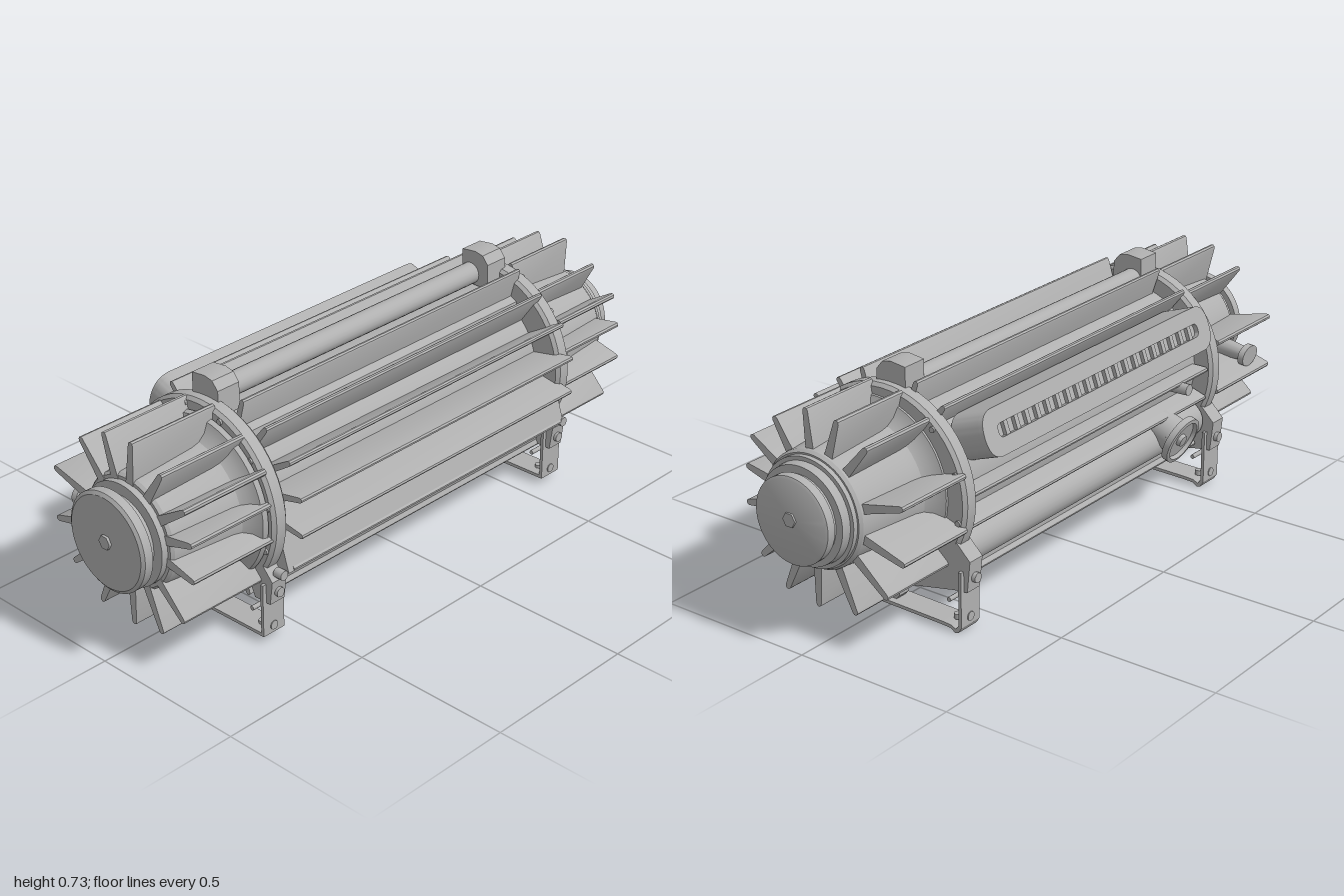
import * as THREE from 'three';
import { toCreasedNormals } from 'three/addons/utils/BufferGeometryUtils.js';

const metal = new THREE.MeshStandardMaterial({ color: 0xb0b0b0 });
metal.name = 'grey metal';
const CZ = 0.025, CY = 0.39; // shaft axis, running along x
const FZ = 0.005, FY = 0.384; // casing and flange axis

export function createModel() {
  const root = new THREE.Group();
  const add = (name, geo, parent = root) => {
    const m = new THREE.Mesh(geo, metal);
    m.name = name;
    parent.add(m);
    return m;
  };
  // Extrude a [z, y] outline along x
  const slab = (name, pts, x0, x1) => {
    const s = new THREE.Shape(pts.map(([z, y]) => new THREE.Vector2(-z, y)));
    const g = new THREE.ExtrudeGeometry(s, { depth: x1 - x0, bevelEnabled: false });
    g.rotateY(Math.PI / 2).translate(x0, 0, 0);
    return add(name, toCreasedNormals(g, 0.5));
  };
  // Turn an [x, radius] profile around an axis along x
  const turned = (name, prof, y = CY, z = CZ) => {
    const g = new THREE.LatheGeometry(prof.map(([x, r]) => new THREE.Vector2(r, x)), 56);
    g.rotateZ(-Math.PI / 2).translate(0, y, z);
    return add(name, toCreasedNormals(g, 0.5));
  };
  // Tapered radial fin with a rounded tip
  const fin = (name, [tz, ty], r0, w0, w1, x0, x1) => {
    const dz = tz - CZ, dy = ty - CY, r = Math.hypot(dz, dy), uz = dz / r, uy = dy / r;
    const p = (d, w) => [CZ + uz * d - uy * w, CY + uy * d + uz * w];
    return slab(name, [p(r0, -w0), p(r - w1, -w1), p(r - w1 * 0.3, -w1 * 0.7), p(r, 0),
      p(r - w1 * 0.3, w1 * 0.7), p(r - w1, w1), p(r0, w0)], x0, x1);
  };
  // Group whose local +y points to the rear, raised by the given angle in degrees
  const rearMount = (name, x, y, z, elevation) => {
    const g = new THREE.Group();
    g.name = name;
    g.position.set(x, y, z);
    g.rotation.x = THREE.MathUtils.degToRad(elevation - 90);
    root.add(g);
    return g;
  };
  const bolt = (name, x, y, z, r, l) =>
    add(name, new THREE.CylinderGeometry(r, r, l, 8).rotateZ(Math.PI / 2).translate(x, y, z));

  // Central casing: round on top, recessed at the upper front, stepped below
  const casing = [];
  for (let i = 0; i <= 28; i++) {
    const deg = -5 + i * 7.2, a = THREE.MathUtils.degToRad(deg);
    const r = deg < 55 ? 0.195 : 0.225;
    casing.push([FZ + r * Math.cos(a), CY + r * Math.sin(a)]);
  }
  casing.push([-0.235, 0.25], [-0.23, 0.16], [-0.12, 0.115], [-0.03, 0.11], [0.05, 0.12],
    [0.115, 0.09], [0.165, 0.15], [0.215, 0.14], [0.235, 0.2], [0.3, 0.225], [0.265, 0.335]);
  slab('casing', casing, -0.58, 0.61);

  // Long cooling fins
  [[0.335, 0.345], [0.333, 0.46], [0.29, 0.56], [0.2, 0.632], [0.11, 0.685], [-0.085, 0.688],
    [-0.18, 0.638], [0.3, 0.225], [0.22, 0.125], [0.115, 0.062], [-0.015, 0.07],
    [-0.13, 0.095], [-0.235, 0.14], [-0.275, 0.4], [-0.27, 0.305]]
    .forEach(t => fin('coolingFin', t, 0.16, 0.012, 0.008, -0.56, 0.6));

  // Top rail and lifting lugs
  add('topRail', new THREE.CylinderGeometry(0.034, 0.034, 1.14, 20)
    .rotateZ(Math.PI / 2).translate(0, 0.655, -0.022));
  for (const x of [-0.55, 0.57])
    slab('liftingLug', [[0.048, 0.62], [0.046, 0.7], [0.025, 0.725], [-0.005, 0.731],
      [-0.055, 0.725], [-0.055, 0.62]], x - 0.04, x + 0.04);

  // Rear lower barrel
  add('rearBarrel', new THREE.CylinderGeometry(0.058, 0.058, 1.14, 24)
    .rotateZ(Math.PI / 2).translate(0.01, 0.225, -0.205));

  // Flanges, brackets and feet
  for (const [x0, x1] of [[-0.625, -0.57], [0.585, 0.64]]) {
    turned('flange', [[x0, 0], [x0, 0.277], [x0 + 0.01, 0.287], [x1 - 0.01, 0.287], [x1, 0.277], [x1, 0]], FY, FZ);
    const xm = (x0 + x1) / 2;
    slab('bottomLug', [[0.01, 0.12], [0.005, 0.04], [-0.005, 0.028], [-0.025, 0.028],
      [-0.035, 0.04], [-0.04, 0.12]], xm - 0.02, xm + 0.02);
    slab('frontBracket', [[0.18, 0.2], [0.24, 0.25], [0.28, 0.205], [0.27, 0.13], [0.21, 0.13]], x0, x1);
    slab('rearBracket', [[-0.16, 0.2], [-0.25, 0.27], [-0.295, 0.225], [-0.285, 0.13], [-0.24, 0.125],
      [-0.02, 0.08], [0, 0.12]], x0, x1);
    slab('foot', [[0.255, 0.19], [0.255, 0.022], [-0.2, 0.014], [-0.235, 0.012], [-0.25, 0.002],
      [-0.262, 0.005], [-0.273, 0.022], [-0.273, 0.19], [-0.263, 0.19], [-0.263, 0.028],
      [-0.253, 0.014], [-0.235, 0.022], [-0.2, 0.024], [0.245, 0.032], [0.245, 0.19]], xm - 0.04, xm + 0.04);
    for (const z of [0.21, -0.23]) {
      add('footBolt', new THREE.CylinderGeometry(0.012, 0.012, 0.016, 8).translate(xm, 0.033, z));
      bolt('bracketBolt', xm, 0.098, z, 0.007, 0.08);
    }
    for (const z of [0.251, -0.269])
      add('legBolt', new THREE.CylinderGeometry(0.014, 0.014, 0.014, 10)
        .rotateX(Math.PI / 2).translate(xm, 0.045, z));
    // Flange bolts
    for (let i = 0; i < 12; i++) {
      const a = i * Math.PI / 6 + 0.2;
      bolt('flangeBolt', xm < 0 ? x0 : x1, FY + 0.268 * Math.sin(a), FZ + 0.268 * Math.cos(a), 0.009, 0.012);
    }
    for (const [z, y] of [[0.27, 0.165], [0.285, 0.225], [-0.287, 0.17]])
      add('sideBolt', new THREE.CylinderGeometry(0.015, 0.015, 0.03, 10)
        .rotateX(Math.PI / 2).translate(xm, y, z));
  }

  // Finned end bells
  const bell = [[0.63, 0.25], [0.645, 0.245], [0.655, 0.215], [0.675, 0.195], [0.7, 0.188], [0.9, 0.172], [0.91, 0.165], [0.91, 0]];
  turned('rightEndBell', bell);
  turned('leftEndBell', bell.map(([x, r]) => [-x, r]).reverse());
  const tips = [[0.053, 0.676], [-0.058, 0.666], [-0.158, 0.612], [-0.278, 0.472], [-0.28, 0.308],
    [-0.218, 0.192], [-0.105, 0.11], [0.03, 0.095], [0.145, 0.115], [0.235, 0.19],
    [0.283, 0.338], [0.278, 0.45], [0.255, 0.545], [0.168, 0.622]];
  for (const t of tips) {
    fin('rightBellFin', t, 0.15, 0.015, 0.009, 0.63, 0.893);
    fin('leftBellFin', t, 0.15, 0.015, 0.009, -0.912, -0.615);
  }

  // Hubs and end caps
  turned('rightHub', [[0.9, 0.16], [0.925, 0.16], [0.925, 0.148], [0.952, 0.145], [0.952, 0.122],
    [0.963, 0.122], [0.963, 0.128], [0.99, 0.128], [0.994, 0.12], [0.994, 0]]);
  turned('leftHub', [[-0.992, 0], [-0.992, 0.14], [-0.985, 0.15], [-0.958, 0.15], [-0.958, 0.122],
    [-0.93, 0.122], [-0.93, 0.155], [-0.91, 0.155]]);
  for (const x of [-0.99, 0.99])
    add('hubNut', new THREE.CylinderGeometry(0.022, 0.022, 0.02, 6)
      .rotateZ(Math.PI / 2).translate(x, CY + 0.005, CZ + 0.002));

  // Rear vent with a recessed row of slots
  const capsule = (P, hl, hw) => {
    const s = new P(), r = hw * 0.85;
    s.moveTo(-hl + r, -hw);
    s.lineTo(hl - r, -hw); s.quadraticCurveTo(hl, -hw, hl, 0);
    s.quadraticCurveTo(hl, hw, hl - r, hw);
    s.lineTo(-hl + r, hw); s.quadraticCurveTo(-hl, hw, -hl, 0);
    s.quadraticCurveTo(-hl, -hw, -hl + r, -hw);
    return s;
  };
  const vent = rearMount('vent', 0, 0.55, -0.265, 20);
  const rim = capsule(THREE.Shape, 0.55, 0.068);
  rim.holes.push(capsule(THREE.Path, 0.49, 0.02));
  const plate = (s, d) => toCreasedNormals(new THREE.ExtrudeGeometry(s, { depth: d, bevelEnabled: false })
    .rotateX(-Math.PI / 2), 0.5);
  add('ventRim', plate(rim, 0.015), vent);
  add('ventBase', plate(capsule(THREE.Shape, 0.55, 0.068), 0.1).translate(0, -0.1, 0), vent);
  for (let i = 0; i < 20; i++)
    add('ventRib', new THREE.BoxGeometry(0.016, 0.012, 0.04).translate(-0.45 + i * 0.9 / 19, 0.006, 0), vent);

  // Round rear port with a raised rim and centre bolt
  const port = rearMount('port', -0.37, 0.25, -0.283, -20);
  const ring = [[0, 0], [0.055, 0], [0.055, 0.012], [0.077, 0.014], [0.077, 0.034], [0.065, 0.036],
    [0.061, 0.024], [0.02, 0.024], [0.018, 0.036], [0, 0.038]];
  add('portCap', toCreasedNormals(new THREE.LatheGeometry(ring.map(p => new THREE.Vector2(...p)), 32), 0.5), port);
  add('portNeck', new THREE.CylinderGeometry(0.055, 0.055, 0.06, 24).translate(0, -0.03, 0), port);
  const plug = rearMount('plug', -0.42, 0.385, -0.25, 0);
  add('plugHead', new THREE.CylinderGeometry(0.018, 0.02, 0.1, 10), plug);

  // Small oval cover on the left bell
  const cover = rearMount('bellCover', -0.83, 0.36, -0.25, -6);
  add('bellCoverDisc', new THREE.CylinderGeometry(0.042, 0.042, 0.02, 20).scale(1, 1, 0.8), cover);
  add('bellCoverStem', new THREE.CylinderGeometry(0.022, 0.03, 0.1, 12).translate(0, -0.05, 0), cover);
  return root;
}
